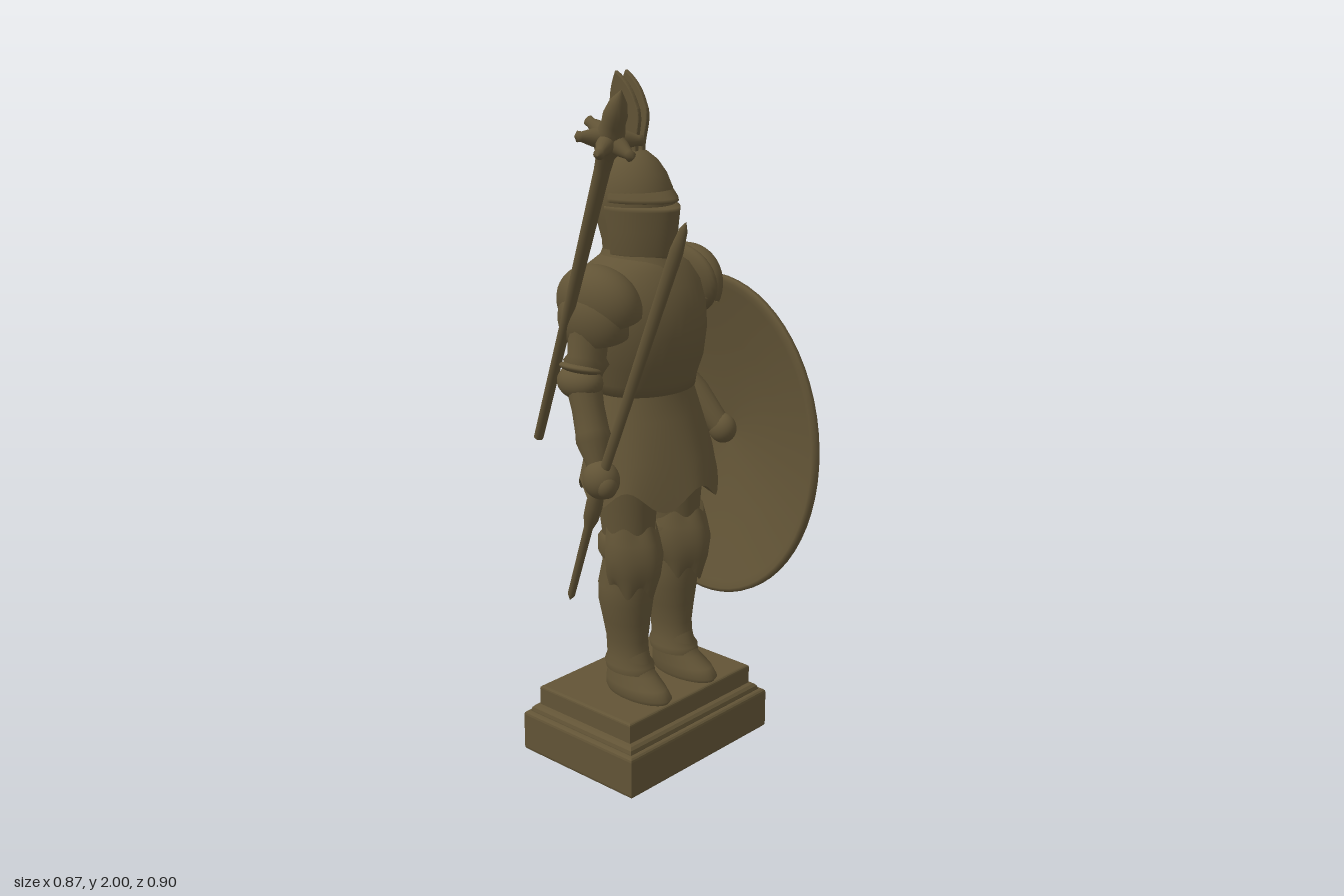
import * as THREE from 'three';

const bronze = new THREE.MeshStandardMaterial({ color: 0x625436, side: THREE.DoubleSide });
bronze.name = 'aged bronze';

const V = (a) => new THREE.Vector3(...a);

function part(name, geometry, parent) {
  const mesh = new THREE.Mesh(geometry, bronze);
  mesh.name = name;
  parent.add(mesh);
  return mesh;
}

// Skin over horizontal rings: [y, centre x, half width, front z, back z, front ridge, hem wave].
// A repeated ring gives a sharp edge; arc < PI leaves the back open.
function loft(rings, arc = Math.PI, n = 40) {
  const pos = [], idx = [];
  const closed = arc === Math.PI, cols = closed ? n : n + 1;
  rings.forEach(([y, cx, rx, zf, zb, ridge = 0, wave = 0], i) => {
    for (let j = 0; j < cols; j++) {
      const t = -arc + (2 * arc * j) / n, c = Math.cos(t);
      const z = (zf + zb) / 2 + ((zf - zb) / 2) * c + ridge * Math.max(0, c) ** 8;
      pos.push(cx + rx * Math.sin(t), y + wave * Math.cos(6 * t), z);
      if (i === rings.length - 1 || (!closed && j === n)) continue;
      const a = i * cols + j, b = i * cols + ((j + 1) % cols);
      idx.push(a, b, b + cols, a, b + cols, a + cols);
    }
  });
  const g = new THREE.BufferGeometry();
  g.setAttribute('position', new THREE.Float32BufferAttribute(pos, 3));
  g.setIndex(idx);
  g.computeVertexNormals();
  return g;
}

// Turned bar from a to b; profile is [radius, fraction along], flat squashes it sideways
function bar(a, b, profile, flat = 1) {
  const A = V(a), d = V(b).sub(A), len = d.length();
  const g = new THREE.LatheGeometry(profile.map(([r, f]) => new THREE.Vector2(r, f * len)), 16);
  g.scale(flat, 1, 1);
  g.applyQuaternion(new THREE.Quaternion().setFromUnitVectors(new THREE.Vector3(0, 1, 0), d.normalize()));
  return g.translate(A.x, A.y, A.z);
}

function ellipsoid(c, r, tilt = 0, open = Math.PI) {
  const g = new THREE.SphereGeometry(1, 32, 20, 0, Math.PI * 2, 0, open);
  return g.scale(...r).rotateZ(tilt).translate(...c);
}

// Stepped block with softened edges, built by extruding upward
function slab(x0, x1, z0, z1, y0, y1, bevel) {
  const s = new THREE.Shape();
  const b = bevel;
  s.moveTo(x0 + b, -z1 + b);
  s.lineTo(x1 - b, -z1 + b);
  s.lineTo(x1 - b, -z0 - b);
  s.lineTo(x0 + b, -z0 - b);
  const g = new THREE.ExtrudeGeometry(s, {
    depth: y1 - y0 - 2 * b, bevelThickness: b, bevelSize: b, bevelSegments: 3,
  });
  return g.rotateX(-Math.PI / 2).translate(0, y0 + b, 0);
}

function addBase(root) {
  part('plinth', slab(-0.3, 0.305, -0.275, 0.168, 0, 0.13, 0.012), root);
  part('plinthMoulding', slab(-0.285, 0.287, -0.26, 0.152, 0.1, 0.152, 0.02), root);
  part('plinthTop', slab(-0.265, 0.268, -0.24, 0.13, 0.12, 0.212, 0.008), root);
}

function addLeg(root, side) {
  const x = side * 0.097, k = side * 0.104;
  const leg = new THREE.Group();
  leg.name = side > 0 ? 'leftLeg' : 'rightLeg';
  root.add(leg);
  part('shoe', loft([
    [0.208, x * 1.05, 0.052, 0.12, -0.1], [0.225, x * 1.05, 0.06, 0.132, -0.108],
    [0.25, x * 1.05, 0.058, 0.11, -0.108], [0.28, x, 0.052, 0.065, -0.105],
    [0.31, x, 0.05, 0.045, -0.1], [0.36, x, 0.048, 0.03, -0.1],
  ]), leg);
  part('greave', loft([
    [0.285, x, 0.06, 0.055, -0.108], [0.305, x, 0.062, 0.052, -0.112], [0.325, x, 0.052, 0.035, -0.105],
    [0.38, x, 0.052, 0.03, -0.108], [0.44, x, 0.063, 0.035, -0.118], [0.5, x, 0.074, 0.042, -0.13],
    [0.55, x, 0.075, 0.045, -0.13], [0.62, x, 0.066, 0.045, -0.115], [0.7, x, 0.066, 0.045, -0.11],
  ]), leg);
  part('thigh', loft([
    [0.66, x, 0.068, 0.05, -0.11], [0.72, x, 0.07, 0.05, -0.115],
    [0.8, x, 0.079, 0.055, -0.125], [0.95, x, 0.085, 0.06, -0.13],
  ]), leg);
  // Knee cap with a pointed lower edge
  part('kneeCap', loft([
    [0.55, k, 0.062, 0.058, -0.09, 0.01, -0.02], [0.6, k, 0.08, 0.072, -0.1, 0.015],
    [0.655, k, 0.088, 0.08, -0.1, 0.012], [0.7, k, 0.082, 0.07, -0.1, 0.008],
    [0.74, k, 0.074, 0.058, -0.1, 0, 0.01],
  ], 1.9), leg);
  part('kneeStrap', loft([
    [0.64, x, 0.074, 0.05, -0.118], [0.655, x, 0.08, 0.055, -0.126],
    [0.695, x, 0.08, 0.055, -0.126], [0.71, x, 0.07, 0.05, -0.115],
  ]), leg);
}

function addBody(root) {
  const hem = [0.845, -0.012, 0.218, 0.155, -0.215, 0.015, 0.03];
  part('skirt', loft([
    [0.93, 0, 0.01, -0.02, -0.04], hem, hem, [0.95, -0.008, 0.2, 0.135, -0.2, 0.01],
    [1.06, -0.005, 0.172, 0.095, -0.18], [1.13, 0, 0.15, 0.07, -0.17], [1.18, 0, 0.14, 0.06, -0.16],
  ], Math.PI, 72), root);
  part('breastplate', loft([
    [1.125, -0.005, 0.13, 0.055, -0.16], [1.13, -0.005, 0.158, 0.08, -0.18], [1.16, -0.005, 0.162, 0.085, -0.185],
    [1.22, -0.01, 0.18, 0.11, -0.21], [1.3, -0.012, 0.193, 0.122, -0.235], [1.37, -0.012, 0.195, 0.115, -0.24],
    [1.43, -0.01, 0.19, 0.09, -0.23], [1.475, -0.005, 0.16, 0.055, -0.21], [1.5, 0, 0.11, 0.03, -0.19],
    [1.515, 0, 0.06, 0, -0.15],
  ]), root);
  part('gorget', loft([
    [1.44, 0, 0.13, 0.065, -0.205], [1.465, 0, 0.122, 0.062, -0.205],
    [1.49, 0, 0.1, 0.045, -0.2], [1.53, 0, 0.085, 0.025, -0.185],
  ]), root);
}

function addHead(root) {
  part('helmet', loft([
    [1.48, 0, 0.084, 0.022, -0.19], [1.54, 0, 0.088, 0.022, -0.192], [1.6, 0, 0.1, 0.025, -0.208],
    [1.65, 0, 0.105, 0.026, -0.215], [1.69, 0, 0.102, 0.018, -0.214], [1.73, 0, 0.088, 0, -0.2],
    [1.765, 0, 0.065, -0.026, -0.174], [1.788, 0, 0.038, -0.057, -0.143], [1.8, 0, 0.001, -0.099, -0.101],
  ]), root);
  part('visor', loft([
    [1.505, 0, 0.088, 0.026, -0.19, 0.01], [1.515, 0, 0.094, 0.034, -0.195, 0.01],
    [1.58, 0, 0.101, 0.036, -0.2, 0.014], [1.635, 0, 0.107, 0.04, -0.215, 0.018],
    [1.645, 0, 0.107, 0.04, -0.215, 0.018], [1.648, 0, 0.1, 0.024, -0.21],
  ], 1.75), root);
  part('brow', loft([
    [1.656, 0, 0.1, 0.02, -0.21], [1.658, 0, 0.108, 0.036, -0.216, 0.012],
    [1.668, 0, 0.107, 0.034, -0.216, 0.01], [1.69, 0, 0.1, 0.016, -0.212],
  ], 1.6), root);
  // Pair of upright plumes
  const s = new THREE.Shape();
  s.moveTo(-0.07, 1.76);
  s.bezierCurveTo(-0.085, 1.83, -0.04, 1.87, -0.07, 1.92);
  s.quadraticCurveTo(-0.09, 1.97, -0.14, 2);
  s.bezierCurveTo(-0.175, 1.93, -0.165, 1.87, -0.14, 1.83);
  s.lineTo(-0.13, 1.76);
  for (const side of [-1, 1]) {
    const g = new THREE.ExtrudeGeometry(s, {
      depth: 0.006, bevelThickness: 0.004, bevelSize: 0.003, bevelSegments: 2, curveSegments: 10,
    });
    g.translate(0, 0, -0.003).rotateY(-Math.PI / 2).rotateZ(-side * 0.03).translate(side * -0.04, 0, 0);
    part(side > 0 ? 'leftPlume' : 'rightPlume', g, root);
  }
}

function addRightArm(root) {
  const limb = new THREE.Group();
  limb.name = 'rightArm';
  root.add(limb);
  part('shoulderPlate', ellipsoid([-0.172, 1.385, -0.065], [0.09, 0.12, 0.14], 0.35, 1.8), limb);
  part('shoulderLame', ellipsoid([-0.195, 1.34, -0.065], [0.08, 0.11, 0.115], 0.3, 1.9), limb);
  part('upperArm', bar([-0.245, 1.16, -0.06], [-0.2, 1.42, -0.06],
    [[0.04, 0], [0.05, 0.2], [0.064, 0.3], [0.054, 0.36], [0.06, 0.7], [0.06, 1]]), limb);
  part('elbowPlate', ellipsoid([-0.252, 1.185, -0.065], [0.055, 0.05, 0.072]), limb);
  part('elbowRim', ellipsoid([-0.255, 1.225, -0.06], [0.052, 0.016, 0.065], -0.25), limb);
  part('forearm', bar([-0.275, 0.95, 0.03], [-0.25, 1.19, -0.055],
    [[0.035, 0], [0.034, 0.12], [0.05, 0.35], [0.047, 0.45], [0.045, 0.7], [0.05, 1]]), limb);
  part('hand', ellipsoid([-0.285, 0.935, 0.045], [0.048, 0.055, 0.055]), limb);
  part('knuckles', ellipsoid([-0.295, 0.925, 0.075], [0.03, 0.035, 0.03]), limb);
}

function addLeftArm(root) {
  const limb = new THREE.Group();
  limb.name = 'leftArm';
  root.add(limb);
  part('shoulderPlate', ellipsoid([0.19, 1.385, -0.08], [0.078, 0.125, 0.135], -0.3, 1.8), limb);
  part('shoulderRim', ellipsoid([0.165, 1.41, -0.075], [0.04, 0.112, 0.143], 0.2), limb);
  part('upperArm', bar([0.205, 1.12, -0.11], [0.2, 1.42, -0.08],
    [[0.04, 0], [0.048, 0.2], [0.055, 0.6], [0.058, 1]]), limb);
  part('elbowPlate', ellipsoid([0.205, 1.13, -0.12], [0.05, 0.055, 0.06]), limb);
  part('forearm', bar([0.205, 1.12, -0.11], [0.24, 0.97, 0.02], [[0.04, 0], [0.046, 0.4], [0.035, 1]]), limb);
  part('hand', ellipsoid([0.245, 0.96, 0.03], [0.038, 0.045, 0.045]), limb);
}

// Domed round shield with a central boss
function addShield(root) {
  const profile = [
    [0, 0.08], [0.3, 0.065], [0.6, 0.03], [0.93, -0.008], [0.975, -0.02], [1, -0.012], [1, 0.002],
    [0.975, 0.012], [0.94, 0.013], [0.75, 0.042], [0.5, 0.075], [0.28, 0.106], [0.17, 0.115],
    [0.135, 0.12], [0.12, 0.14], [0.08, 0.158], [0.04, 0.164], [0, 0.165],
  ].map((p) => new THREE.Vector2(...p));
  const g = new THREE.LatheGeometry(profile, 64);
  g.rotateZ(-Math.PI / 2).scale(1, 0.487, 0.432).rotateZ(-0.04).rotateY(-0.09);
  part('shield', g.translate(0.25, 0.93, -0.018), root);
}

function addWeapons(root) {
  // Sword held upright and leaning forward
  part('swordBlade', bar([-0.287, 0.93, 0.045], [-0.402, 1.705, 0.452],
    [[0.015, 0], [0.016, 0.3], [0.018, 0.75], [0.019, 0.9], [0.012, 0.97], [0, 1]], 0.7), root);
  part('swordLowerEnd', bar([-0.203, 0.49, -0.17], [-0.287, 0.95, 0.05],
    [[0, 0], [0.012, 0.05], [0.014, 0.6], [0.024, 0.68], [0.026, 0.78], [0.016, 1]], 0.8), root);
  // Spiked mace passing behind the arm
  const mace = new THREE.Group();
  mace.name = 'mace';
  root.add(mace);
  const low = [-0.185, 0.95, -0.31], top = [-0.405, 2, 0.245];
  part('maceShaftAndHead', bar(low, top, [
    [0, 0], [0.014, 0.01], [0.016, 0.4], [0.021, 0.8], [0.024, 0.84], [0.036, 0.86], [0.04, 0.88],
    [0.034, 0.905], [0.03, 0.92], [0.031, 0.94], [0.022, 0.97], [0, 1],
  ]), mace);
  const axis = V(top).sub(V(low)), centre = V(low).addScaledVector(axis, 0.882);
  axis.normalize();
  const u = new THREE.Vector3(1, 0, 0).addScaledVector(axis, -axis.x).normalize();
  for (let i = 0; i < 6; i++) {
    const dir = u.clone().applyAxisAngle(axis, (i * Math.PI) / 3 + Math.PI / 6);
    const tip = centre.clone().addScaledVector(dir, 0.09);
    part('maceSpike', bar(centre.toArray(), tip.toArray(),
      [[0.03, 0], [0.022, 0.5], [0.013, 0.8], [0.014, 0.92], [0, 1]]), mace);
  }
}

export function createModel() {
  const root = new THREE.Group();
  root.name = 'armouredKnightStatue';
  addBase(root);
  for (const side of [-1, 1]) addLeg(root, side);
  addBody(root);
  addHead(root);
  addRightArm(root);
  addLeftArm(root);
  addShield(root);
  addWeapons(root);
  return root;
}
